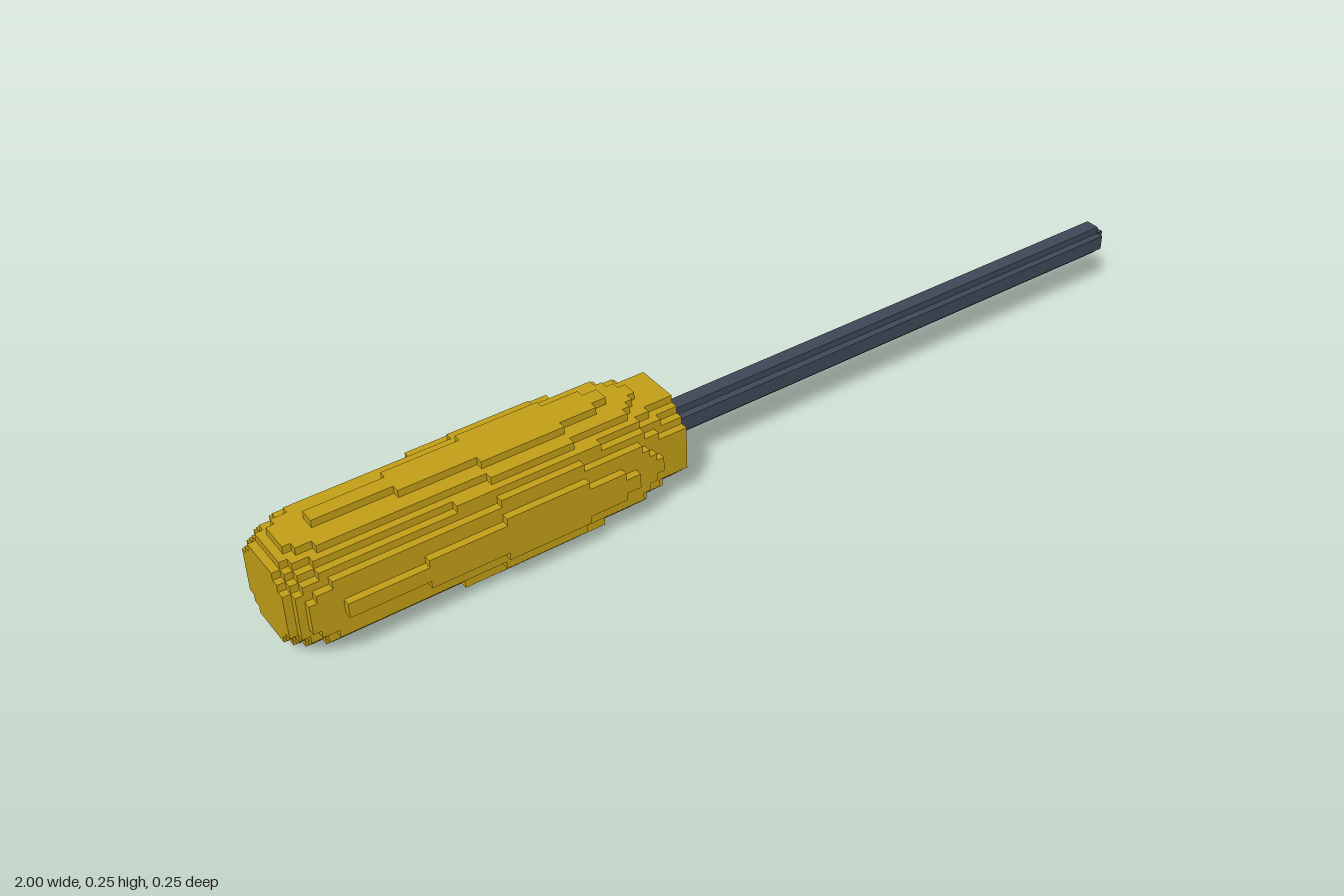
import * as THREE from 'three';

// The model is 127 cubes long and 16 cubes thick
const LENGTH = 127;
const HALF = 8;
const SIZE = 2 / LENGTH;
const HANDLE_END = 52;
const SHAFT_END = 126;

// Handle radius in cubes, as [position along the handle, radius]
const PROFILE = [
  [0.5, 5.3], [1.5, 6.3], [2.5, 6.75], [4.5, 7.3], [6.5, 7.53], [17, 7.66],
  [26, 7.91], [37, 7.91], [41, 7.7], [44, 7.52], [46, 7.0], [48, 6.5], [52, 6.0],
];

function handleRadius(x) {
  for (let i = 1; i < PROFILE.length; i++) {
    const [x0, r0] = PROFILE[i - 1];
    const [x1, r1] = PROFILE[i];
    if (x <= x1) return THREE.MathUtils.mapLinear(x, x0, x1, r0, r1);
  }
  return 0;
}

function radiusAt(i) {
  if (i < 0 || i >= LENGTH) return 0;
  if (i < HANDLE_END) return handleRadius(i + 0.5);
  return i < SHAFT_END ? 2 : 1;
}

// True where the cube at these indices is solid
function solid([i, j, k]) {
  return Math.hypot(j + 0.5 - HALF, k + 0.5 - HALF) < radiusAt(i);
}

// Outer cube faces between two positions along the length
function cubeSurface(start, end) {
  const positions = [];
  const square = [[0, 0], [1, 0], [1, 1], [0, 1]];
  const addFace = (cell, axis, sign) => {
    const corners = square.map(([u, w]) => {
      const p = [...cell];
      if (sign > 0) p[axis] += 1;
      p[(axis + 1) % 3] += u;
      p[(axis + 2) % 3] += w;
      return [p[0] * SIZE - 1, p[1] * SIZE, (p[2] - HALF) * SIZE];
    });
    if (sign < 0) corners.reverse();
    for (const n of [0, 1, 2, 0, 2, 3]) positions.push(...corners[n]);
  };

  for (let i = start; i < end; i++) {
    for (let j = 0; j < 2 * HALF; j++) {
      for (let k = 0; k < 2 * HALF; k++) {
        const cell = [i, j, k];
        if (!solid(cell)) continue;
        for (let axis = 0; axis < 3; axis++) {
          for (const sign of [-1, 1]) {
            const next = [...cell];
            next[axis] += sign;
            if (!solid(next)) addFace(cell, axis, sign);
          }
        }
      }
    }
  }
  const geometry = new THREE.BufferGeometry();
  geometry.setAttribute('position', new THREE.Float32BufferAttribute(positions, 3));
  geometry.computeVertexNormals();
  return geometry;
}

export function createModel() {
  const model = new THREE.Group();
  model.name = 'screwdriver';
  const yellow = new THREE.MeshStandardMaterial({ color: 0xc4a017 });
  const steel = new THREE.MeshStandardMaterial({ color: 0x3f4757 });

  const addPart = (name, start, end, material) => {
    const mesh = new THREE.Mesh(cubeSurface(start, end), material);
    mesh.name = name;
    model.add(mesh);
  };

  addPart('handle', 0, HANDLE_END, yellow);
  addPart('shaft', HANDLE_END, SHAFT_END, steel);
  addPart('tip', SHAFT_END, LENGTH, steel);
  return model;
}
